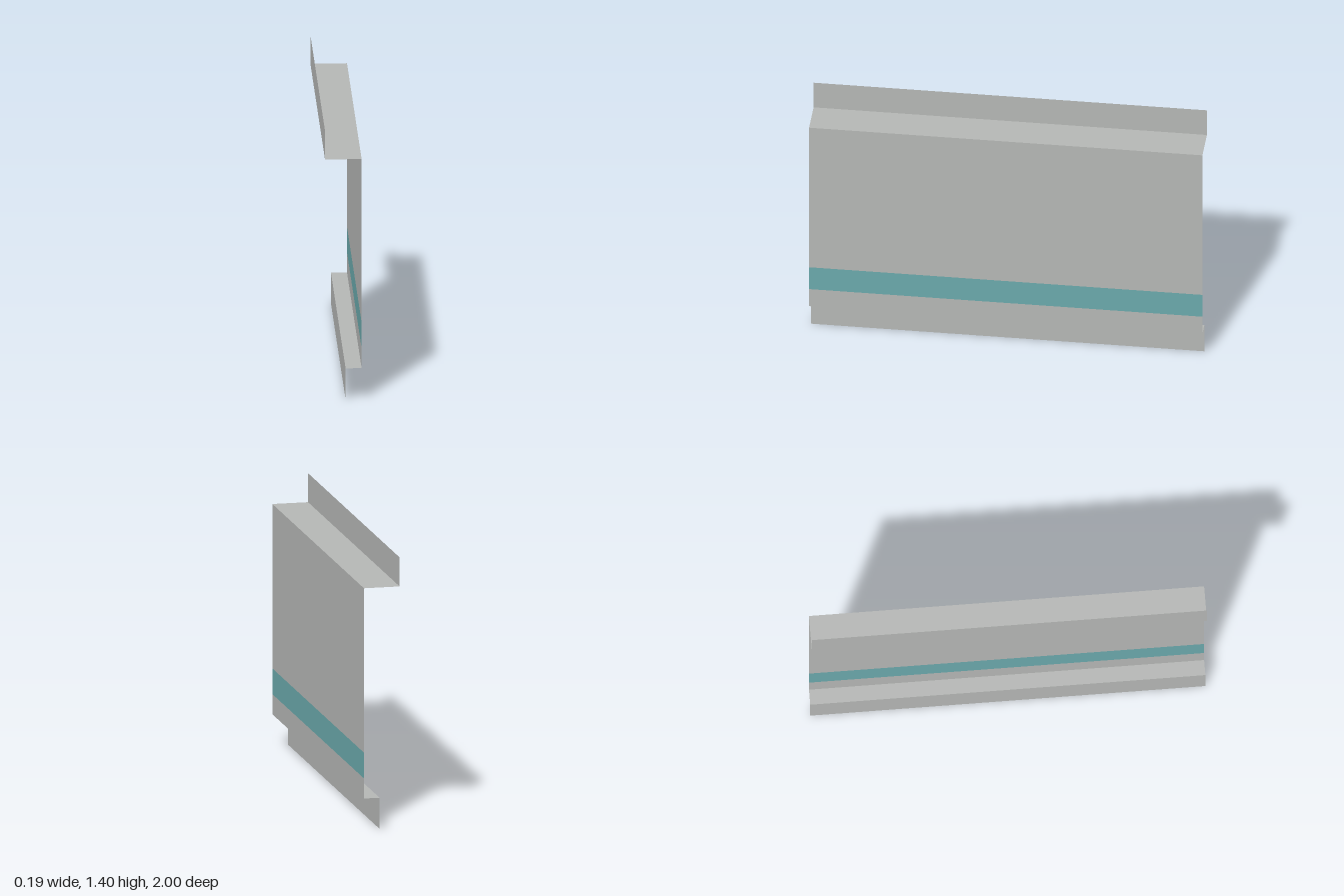
import * as THREE from 'three';

const LENGTH = 2;

// Cross-section levels of the folded sheet
const X_BACK = -0.0925, X_WEB = 0.0925, X_LIP = 0.0115;
const Y_TOP = 1.398, Y_SHELF = 1.248, Y_FOOT = 0.161;
const STRIPE_LOW = 0.265, STRIPE_HIGH = 0.398;

export function createModel() {
  const group = new THREE.Group();
  const steel = new THREE.MeshStandardMaterial({ color: 0xb4b6b4, side: THREE.DoubleSide });
  steel.name = 'grey sheet';
  const teal = new THREE.MeshStandardMaterial({ color: 0x6aa8ab, side: THREE.DoubleSide });
  teal.name = 'teal stripe';

  // Upright strip facing +x, running the full length along z
  function upright(name, x, y0, y1, material = steel) {
    const geometry = new THREE.PlaneGeometry(LENGTH, y1 - y0).rotateY(Math.PI / 2);
    const mesh = new THREE.Mesh(geometry, material);
    mesh.position.set(x, (y0 + y1) / 2, 0);
    mesh.name = name;
    group.add(mesh);
  }

  // Level strip facing up, running the full length along z
  function level(name, y, x0, x1) {
    const geometry = new THREE.PlaneGeometry(x1 - x0, LENGTH).rotateX(-Math.PI / 2);
    const mesh = new THREE.Mesh(geometry, steel);
    mesh.position.set((x0 + x1) / 2, y, 0);
    mesh.name = name;
    group.add(mesh);
  }

  // Top fold
  upright('topUpstand', X_BACK, Y_SHELF, Y_TOP);
  level('topFlange', Y_SHELF, X_BACK, X_WEB);

  // Main web with its coloured band, seen from both sides
  upright('upperWeb', X_WEB, STRIPE_HIGH, Y_SHELF);
  upright('webStripe', X_WEB, STRIPE_LOW, STRIPE_HIGH, teal);
  upright('lowerWeb', X_WEB, Y_FOOT, STRIPE_LOW);

  // Bottom fold
  level('bottomFlange', Y_FOOT, X_LIP, X_WEB);
  upright('bottomLip', X_LIP, 0, Y_FOOT);

  return group;
}
